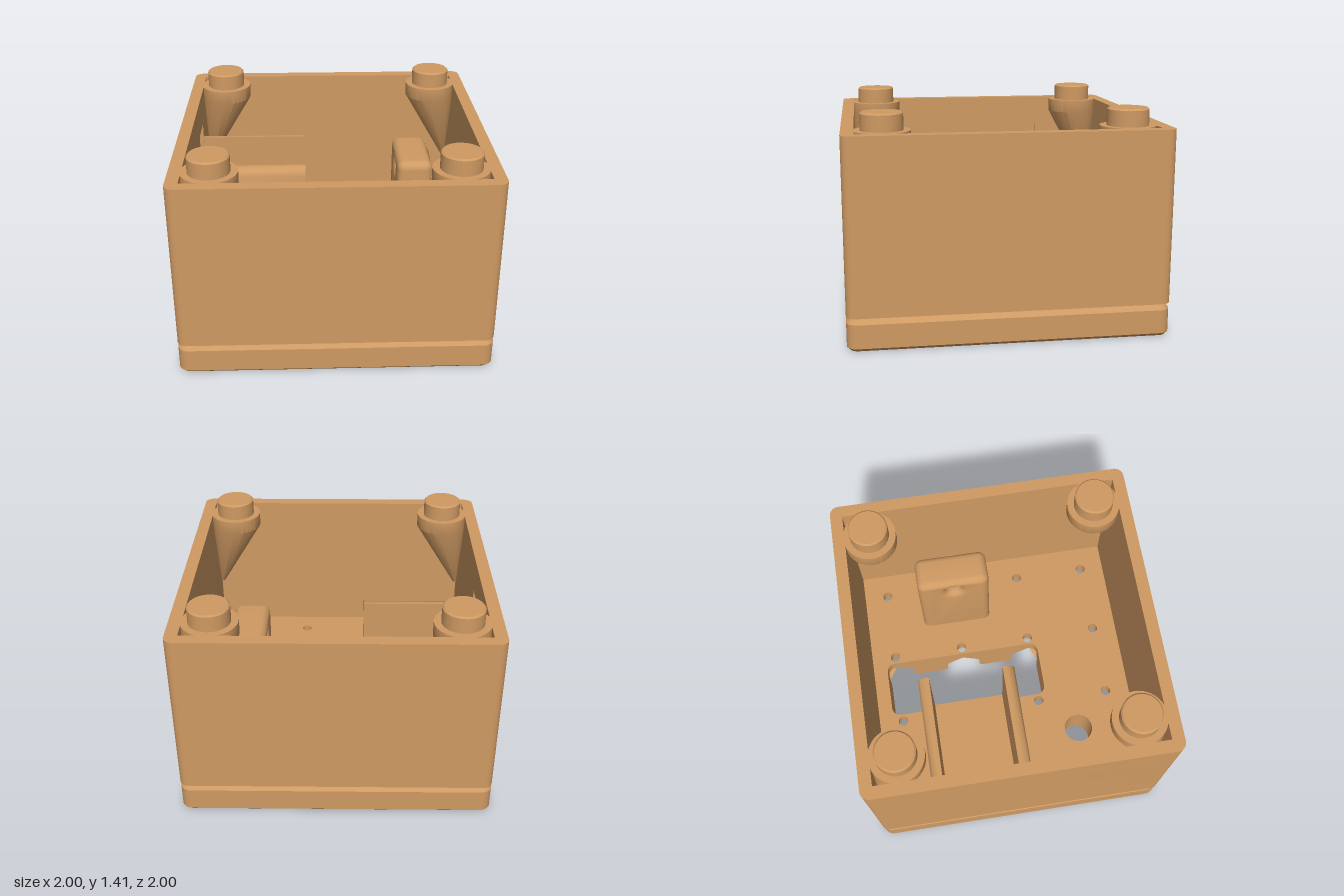
import * as THREE from 'three';
import { toCreasedNormals } from 'three/addons/utils/BufferGeometryUtils.js';

const FLOOR = 0.3, SLAB = 0.21, RIM = 1.3;
const GRID = [-0.75, -0.25, 0.25, 0.75];

function roundRect(x0, z0, x1, z1, r, Type = THREE.Shape) {
  const s = new Type(), h = Math.PI / 2;
  s.absarc(x1 - r, z0 + r, r, -h, 0);
  s.absarc(x1 - r, z1 - r, r, 0, h);
  s.absarc(x0 + r, z1 - r, r, h, 2 * h);
  s.absarc(x0 + r, z0 + r, r, 2 * h, 3 * h);
  s.closePath();
  return s;
}

function circle(x, z, r) {
  return new THREE.Path().absarc(x, z, r, 0, Math.PI * 2);
}

// Plan shape (x, z) raised from y0 to y1
function slab(shape, y0, y1) {
  const g = new THREE.ExtrudeGeometry(shape, { depth: y1 - y0, bevelEnabled: false, curveSegments: 10 });
  g.rotateX(Math.PI / 2).translate(0, y1, 0);
  return toCreasedNormals(g, 0.6);
}

// Surface through closed loops of [x, y, z] points
function loft(loops) {
  const n = loops[0].length, index = [];
  for (let k = 0; k < loops.length - 1; k++) {
    for (let i = 0; i < n; i++) {
      const a = k * n + i, b = k * n + (i + 1) % n;
      index.push(a, a + n, b, b, a + n, b + n);
    }
  }
  const g = new THREE.BufferGeometry();
  g.setAttribute('position', new THREE.Float32BufferAttribute(loops.flat(2), 3));
  g.setIndex(index);
  g.computeVertexNormals();
  return toCreasedNormals(g, 0.6);
}

function ring(x, y, z, r, n = 32) {
  return Array.from({ length: n }, (_, i) => {
    const t = i / n * Math.PI * 2;
    return [x + r * Math.cos(t), y, z + r * Math.sin(t)];
  });
}

// Outline of the floor slot joined with the six sockets of radius r beside it
function slotOutline(r) {
  const half = [], c = Math.acos(0.05 / r), N = 20;
  for (const zc of [-0.75, -0.25, 0.25]) {
    const lo = zc === -0.75 ? 0.07 : 9, hi = zc === 0.25 ? 0.06 : 9;
    const t0 = -Math.PI + Math.min(c, Math.asin(Math.min(1, lo / r)));
    const t1 = Math.PI - Math.min(c, Math.asin(Math.min(1, hi / r)));
    if (lo < 9) half.push([0.25 + r * Math.cos(t0), -0.82]);
    for (let i = 0; i <= N; i++) {
      const t = t0 + (t1 - t0) * i / N;
      half.push([0.25 + r * Math.cos(t), zc + r * Math.sin(t)]);
    }
    if (hi < 9) half.push([0.25 + r * Math.cos(t1), 0.31]);
  }
  return [...half, ...half.slice().reverse().map(([x, z]) => [-x, z])];
}

export function createModel() {
  const model = new THREE.Group();
  const tan = new THREE.MeshStandardMaterial({ color: 0xcf9a63, side: THREE.DoubleSide });
  tan.name = 'tan plastic';
  const add = (name, geometry) => {
    const m = new THREE.Mesh(geometry, tan);
    m.name = name;
    model.add(m);
    return m;
  };

  // Socket profile: flared mouth, straight bore, cone up to a small vent
  const bore = [[0.15, 0], [0.132, 0.025], [0.132, 0.125], [0.0505, SLAB]];
  const freeSockets = [];
  for (const x of GRID) for (const z of GRID) {
    if (Math.abs(x) > 0.5 || z > 0.5) freeSockets.push([x, z]);
  }

  // Underside with its openings
  const under = roundRect(-0.98, -0.98, 0.98, 0.98, 0.05);
  under.holes.push(new THREE.Path(slotOutline(0.15).map(([x, z]) => new THREE.Vector2(x, z))));
  for (const [x, z] of freeSockets) under.holes.push(circle(x, z, 0.15));
  under.holes.push(circle(-0.5, 0.5, 0.1));
  add('underside', new THREE.ShapeGeometry(under, 16).rotateX(Math.PI / 2));

  // Chamfered base skirt ending in a groove
  const skirt = [[0.02, 0], [0, 0.02], [0, 0.17], [0.025, 0.2], [0.025, SLAB]];
  add('baseSkirt', loft(skirt.map(([inset, y]) => {
    const e = 1 - inset;
    return roundRect(-e, -e, e, e, 0.07 - inset).getPoints(8).map(p => [p.x, y, p.y]);
  })));

  // Socket, slot and cable hole walls
  for (const [x, z] of freeSockets) {
    add('socket', loft(bore.map(([r, y]) => ring(x, y, z, r))));
  }
  add('slotWall', loft(bore.map(([r, y]) => slotOutline(r).map(([x, z]) => [x, y, z]))));
  add('cableHole', loft([ring(-0.5, 0, 0.5, 0.1), ring(-0.5, SLAB, 0.5, 0.1)]));

  // Floor pierced by the slot, the vents and the cable hole
  const floor = roundRect(-1, -1, 1, 1, 0.06);
  floor.holes.push(roundRect(-0.2, -0.82, 0.2, 0.31, 0.06, THREE.Path), circle(-0.5, 0.5, 0.1));
  for (const x of GRID) for (const z of GRID) floor.holes.push(circle(x, z, 0.035));
  add('floor', slab(floor, SLAB, FLOOR));

  // Walls, with a shallow recess behind the holder
  const inner = (path, recess) => {
    const e = 0.92;
    path.moveTo(-e, -e).lineTo(e, -e).lineTo(e, e).lineTo(-e, e);
    if (recess) path.lineTo(-e, -0.01).lineTo(-e - 0.03, -0.01).lineTo(-e - 0.03, -0.5).lineTo(-e, -0.5);
    path.closePath();
    return path;
  };
  for (const [name, y0, y1, recess] of [['lowerWalls', FLOOR, 1.09, true], ['upperWalls', 1.09, RIM, false]]) {
    const wall = roundRect(-1, -1, 1, 1, 0.06);
    wall.holes.push(inner(new THREE.Path(), recess));
    add(name, slab(wall, y0, y1));
  }

  // Corner posts: stud on a flush collar, tapering back into the corner
  const stud = [[0.175, RIM], [0.13, RIM], [0.13, 1.4], [0.12, 1.41], [0.0001, 1.41]];
  for (const sx of [-1, 1]) for (const sz of [-1, 1]) {
    const x = 0.755 * sx, z = 0.755 * sz;
    add('cornerStud', loft(stud.map(([r, y]) => ring(x, y, z, r, 40))));
    add('cornerBracket', loft([
      ring(x, RIM, z, 0.175), ring(x, 1.21, z, 0.175),
      ring(0.91 * sx, 0.65, 0.91 * sz, 0.015),
    ]));
  }

  // U-shaped holder, swept along x
  const u = new THREE.Shape();
  [[-0.58, FLOOR], [0.07, FLOOR], [0.07, 0.93], [0.055, 0.965], [0.02, 0.98], [-0.01, 0.98], [-0.01, 0.35],
    [-0.505, 0.35], [-0.505, 0.98], [-0.53, 0.98], [-0.565, 0.965], [-0.58, 0.93]]
    .forEach(([z, y], i) => (i ? u.lineTo(z, y) : u.moveTo(z, y)));
  const holder = new THREE.ExtrudeGeometry(u, { depth: 0.74, bevelEnabled: false });
  holder.rotateY(-Math.PI / 2).translate(-0.18, 0, 0);
  add('holder', toCreasedNormals(holder, 0.8));

  // Rounded anchor block with a flared cross hole
  const face = roundRect(-0.5, FLOOR - 0.06, 0, 0.98, 0.055);
  face.holes.push(circle(-0.25, 0.86, 0.05));
  const anchor = new THREE.ExtrudeGeometry(face, {
    depth: 0.14, bevelThickness: 0.05, bevelSize: 0.05, bevelOffset: -0.05, bevelSegments: 5, curveSegments: 8,
  });
  anchor.rotateY(-Math.PI / 2).translate(0.65, 0, 0);
  add('anchorBlock', toCreasedNormals(anchor, 0.6));

  return model;
}
